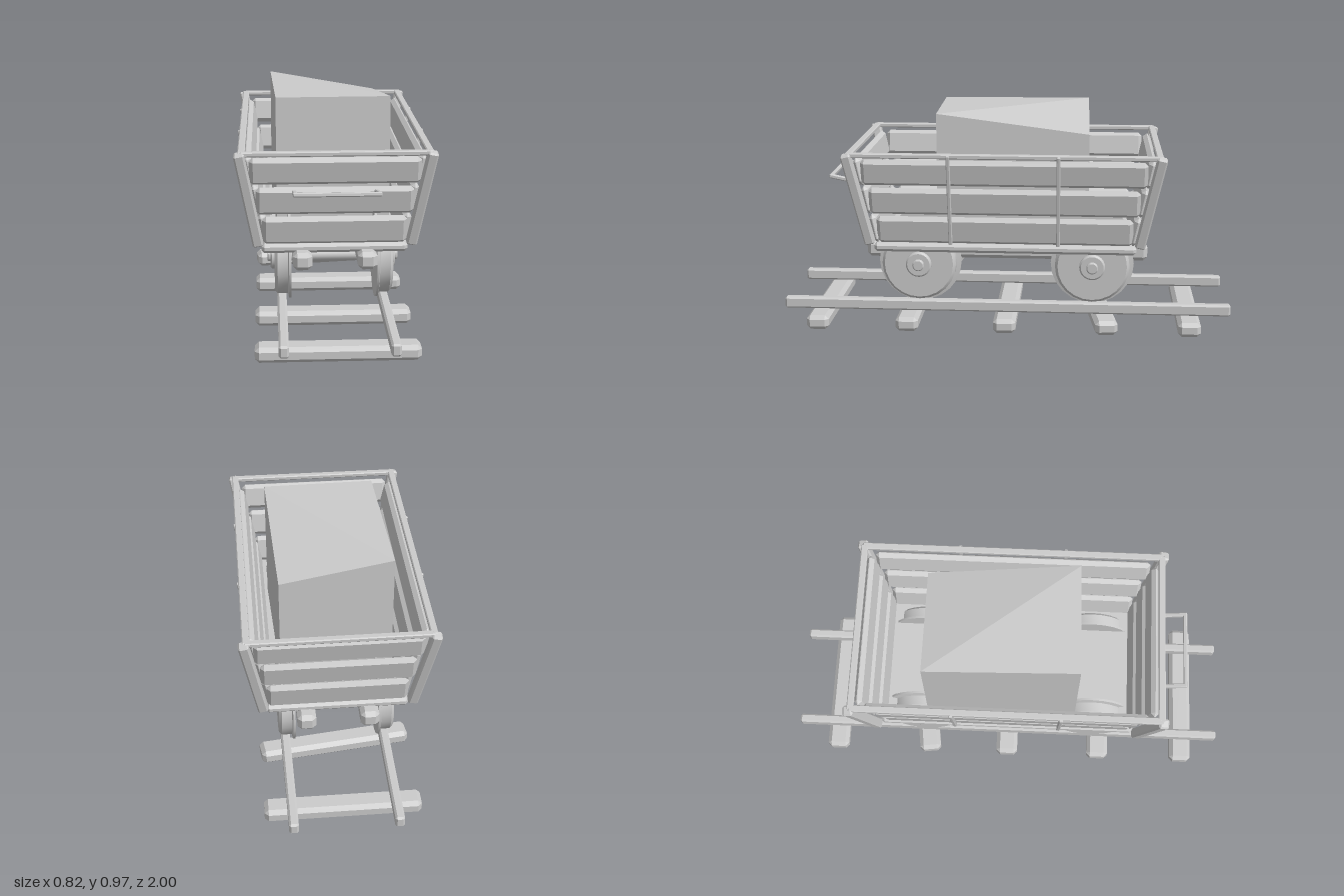
import * as THREE from 'three';
import { toCreasedNormals } from 'three/addons/utils/BufferGeometryUtils.js';
import { ConvexGeometry } from 'three/addons/geometries/ConvexGeometry.js';

const LEAN = 0.205; // outward lean of the wagon walls

export function createModel() {
  const root = new THREE.Group();
  const mat = new THREE.MeshStandardMaterial({ color: 0xcccccc });

  function add(name, geo, x, y, z, parent = root) {
    const m = new THREE.Mesh(geo, mat);
    m.name = name;
    m.position.set(x, y, z);
    parent.add(m);
    return m;
  }

  // box with every edge and corner chamfered by c
  function timber(w, h, d, c) {
    const pts = [], a = w / 2, b = h / 2, e = d / 2;
    for (const i of [-1, 1]) for (const j of [-1, 1]) for (const k of [-1, 1]) {
      pts.push(new THREE.Vector3(i * a, j * (b - c), k * (e - c)));
      pts.push(new THREE.Vector3(i * (a - c), j * b, k * (e - c)));
      pts.push(new THREE.Vector3(i * (a - c), j * (b - c), k * e));
    }
    return new ConvexGeometry(pts);
  }

  // timber running from point p to point q, local y along its length
  function strut(name, p, q, w, d, c) {
    const dir = q.clone().sub(p), mid = p.clone().add(q).multiplyScalar(0.5);
    const m = add(name, timber(w, dir.length(), d, c), mid.x, mid.y, mid.z);
    m.quaternion.setFromUnitVectors(new THREE.Vector3(0, 1, 0), dir.normalize());
    return m;
  }
  const V = (x, y, z) => new THREE.Vector3(x, y, z);

  // track
  for (const s of [-1, 1]) add('rail', timber(0.04, 0.052, 2, 0.008), s * 0.22, 0.095, 0);
  for (const [z, yaw] of [[0.835, 0], [0.435, 0], [0, 0], [-0.41, 0.13], [-0.815, 0]]) {
    add('sleeper', timber(0.67, 0.065, 0.1, 0.017), 0, 0.0325, z).rotation.y = yaw;
  }

  // wheels with flange, tread, hub and axle end
  const profile = [[0, 0.18], [0.185, 0.18], [0.185, 0.19], [0.165, 0.194], [0.165, 0.238],
    [0.153, 0.25], [0.057, 0.25], [0.057, 0.262], [0.05, 0.268], [0.026, 0.268],
    [0.026, 0.277], [0.021, 0.281], [0, 0.281]].map(p => new THREE.Vector2(...p));
  const wheelGeo = toCreasedNormals(new THREE.LatheGeometry(profile, 24), 0.5);
  const axleGeo = new THREE.CylinderGeometry(0.026, 0.026, 0.37, 12);
  for (const z of [-0.385, 0.385]) {
    for (const s of [-1, 1]) add('wheel', wheelGeo, 0, 0.292, z).rotation.z = -s * Math.PI / 2;
    add('axle', axleGeo, 0, 0.292, z).rotation.z = Math.PI / 2;
  }

  // chassis
  for (const s of [-1, 1]) add('chassisBeam', timber(0.08, 0.076, 1.26, 0.018), s * 0.135, 0.337, 0);
  add('floor', timber(0.61, 0.04, 1.15, 0.013), 0, 0.38, 0);

  // three rows of leaning planks on all four sides
  const rows = [[0.462, 0.125], [0.596, 0.122], [0.728, 0.118]];
  rows.forEach(([y, h], i) => {
    const out = (y - 0.462) * 0.208;
    for (const s of [-1, 1]) {
      const end = add('endPlank', timber(0.6 + i * 0.05, h, 0.036, 0.016), 0, y, s * (0.572 + out));
      end.rotation.x = s * LEAN;
      const side = add('sidePlank', timber(0.036, h, 1.12 + i * 0.055, 0.016), s * (0.295 + out), y, 0);
      side.rotation.z = -s * LEAN;
    }
  });

  // corner posts, wall straps and top rim
  for (const sx of [-1, 1]) {
    for (const sz of [-1, 1]) {
      strut('cornerPost', V(sx * 0.317, 0.403, sz * 0.588), V(sx * 0.391, 0.812, sz * 0.673), 0.044, 0.044, 0.007);
    }
    for (const z of [-0.235, 0.235]) {
      strut('wallStrap', V(sx * 0.309, 0.4, z), V(sx * 0.394, 0.812, z), 0.018, 0.016, 0.003);
    }
    add('sideRim', timber(0.03, 0.02, 1.34, 0.004), sx * 0.38, 0.807, 0);
    add('endRim', timber(0.77, 0.02, 0.03, 0.004), 0, 0.807, sx * 0.662);
  }

  // push handle on the front
  const handle = new THREE.Group();
  handle.name = 'handle';
  handle.position.set(0, 0.637, 0.625);
  handle.rotation.x = -0.2;
  root.add(handle);
  for (const s of [-1, 1]) add('handleArm', timber(0.018, 0.018, 0.16, 0.004), s * 0.168, 0, 0.08, handle);
  add('handleBar', timber(0.354, 0.018, 0.018, 0.004), 0, 0, 0.16, handle);

  // cargo block, slightly askew with one dropped top corner
  const block = [[-0.257, -0.36, 0.968], [0.23, -0.365, 0.88], [0.253, 0.298, 0.968], [-0.238, 0.308, 0.968]];
  const corners = [];
  for (const [x, z, top] of block) corners.push(V(x, 0.4, z), V(x, top, z));
  add('cargoBlock', new ConvexGeometry(corners), 0, 0, 0);

  return root;
}
